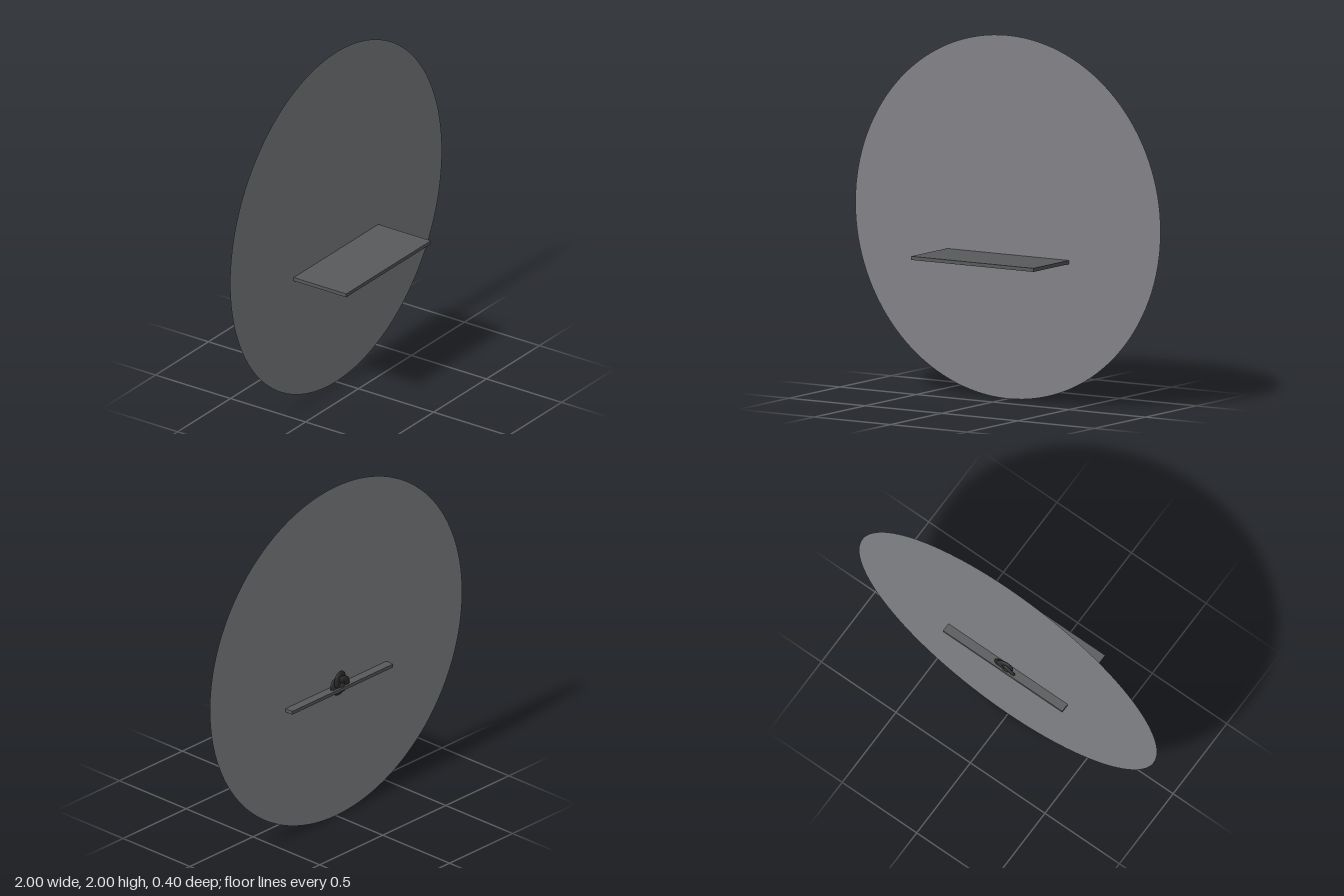
import * as THREE from 'three';

export function createModel() {
  const model = new THREE.Group();

  const add = (name, geometry, color, x, y, z) => {
    const material = new THREE.MeshStandardMaterial({ color });
    const mesh = new THREE.Mesh(geometry, material);
    mesh.name = name;
    mesh.position.set(x, y, z);
    model.add(mesh);
    return mesh;
  };

  // Large upright disc without thickness
  const disc = add('disc', new THREE.CircleGeometry(1, 128), 0x828387, 0, 1, -0.15);
  disc.material.side = THREE.DoubleSide;

  // Flat shelf passing through the disc
  add('shelf', new THREE.BoxGeometry(0.8, 0.02, 0.4), 0x595a5b, 0, 0.784, 0);

  // Small flattened trefoil knot behind the disc, one lobe pointing up
  const knot = new THREE.TorusKnotGeometry(0.036, 0.02, 96, 12, 2, 3);
  knot.rotateZ(Math.PI / 2);
  knot.scale(1, 1, 0.4);
  add('knot', knot, 0x303030, 0, 0.814, -0.18);

  return model;
}
